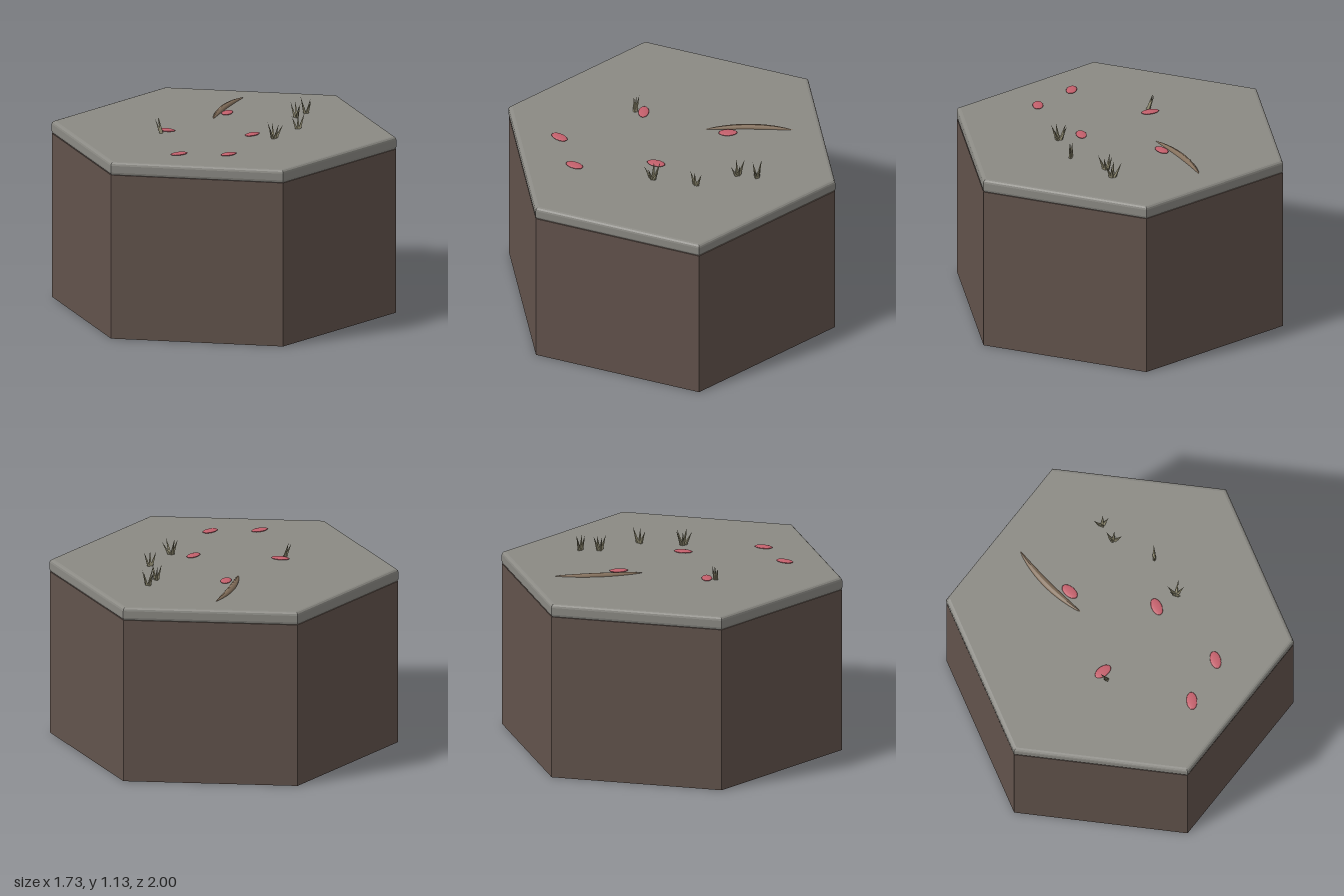
import * as THREE from 'three';

const TOP = 1.04;
const paint = (color, extra = {}) => new THREE.MeshStandardMaterial({ color, ...extra });

function add(parent, name, geometry, material) {
  const mesh = new THREE.Mesh(geometry, material);
  mesh.name = name;
  parent.add(mesh);
  return mesh;
}

// Hexagonal slab with rounded rims, overall corner radius 1
function slabGeometry(height, bevel) {
  const r = 1 - bevel / Math.cos(Math.PI / 6);
  const corners = [];
  for (let i = 0; i < 6; i++) {
    const a = (i * Math.PI) / 3;
    corners.push(new THREE.Vector2(Math.sin(a) * r, Math.cos(a) * r));
  }
  const geometry = new THREE.ExtrudeGeometry(new THREE.Shape(corners), {
    depth: height - 2 * bevel, bevelEnabled: true,
    bevelSize: bevel, bevelThickness: bevel, bevelSegments: 3,
  });
  return geometry.rotateX(-Math.PI / 2).translate(0, bevel, 0);
}

// Curved branch, tapering to a point at both ends
function branchGeometry() {
  const curve = new THREE.QuadraticBezierCurve3(
    new THREE.Vector3(-0.365, 0, -0.6),
    new THREE.Vector3(-0.33, 0, -0.36),
    new THREE.Vector3(-0.19, 0, -0.13));
  const steps = 20;
  const geometry = new THREE.TubeGeometry(curve, steps, 1, 10);
  const pos = geometry.attributes.position;
  const p = new THREE.Vector3();
  for (let i = 0; i < pos.count; i++) {
    const t = Math.floor(i / 11) / steps;
    const c = curve.getPointAt(t);
    p.fromBufferAttribute(pos, i).sub(c);
    p.multiplyScalar(0.001 + 0.02 * Math.pow(Math.sin(Math.PI * t), 0.7));
    p.y *= 0.85;
    p.add(c);
    pos.setXYZ(i, p.x, p.y, p.z);
  }
  geometry.computeVertexNormals();
  return geometry;
}

export function createModel() {
  const model = new THREE.Group();
  model.name = 'hexTile';

  // Ground block and stone cap
  const block = add(model, 'earthBlock', new THREE.CylinderGeometry(0.998, 0.998, 0.965, 6), paint(0x62534c, { flatShading: true }));
  block.position.y = 0.4825;
  const cap = add(model, 'stoneCap', slabGeometry(0.08, 0.02), paint(0x8b8a84));
  cap.position.y = TOP - 0.08;

  // Fallen branch
  const branch = add(model, 'branch', branchGeometry(), paint(0x84705c));
  branch.position.y = TOP;

  // Petals: x, z, turn of the long axis away from z
  const petals = new THREE.Group();
  petals.name = 'petals';
  model.add(petals);
  const petalMaterial = paint(0xc4606c);
  const petalGeometry = new THREE.SphereGeometry(1, 16, 8).scale(0.031, 0.007, 0.054);
  [
    [-0.2, -0.265, 0.42], [0.222, 0.012, 0], [-0.213, 0.256, 1.85],
    [0.407, 0.44, -0.15], [0.186, 0.617, -0.32],
  ].forEach(([x, z, turn]) => {
    const petal = add(petals, 'petal', petalGeometry, petalMaterial);
    petal.position.set(x, TOP + 0.007, z);
    petal.rotation.y = turn;
  });

  // Grass tufts: root, then the x and z offset of every blade tip
  const grassMaterial = paint(0x8f8a70, { flatShading: true });
  const bladeGeometry = new THREE.ConeGeometry(0.011, 1, 4).translate(0, 0.5, 0);
  const up = new THREE.Vector3(0, 1, 0);
  [
    [0.13, -0.57, [[-0.05, -0.01], [0.04, 0], [-0.01, 0.03], [0.012, -0.025]]],
    [0.15, -0.46, [[-0.03, -0.03], [0.043, 0.025], [-0.025, 0.02], [0.015, -0.02]]],
    [0.325, -0.27, [[0.015, -0.042], [-0.015, 0.038], [0.005, 0.005]]],
    [0.355, -0.02, [[-0.04, -0.03], [0.033, -0.045], [0.045, 0.01], [0.01, 0.05], [-0.04, 0.008]]],
    [-0.2, 0.306, [[-0.043, -0.012], [-0.04, 0.02], [-0.035, 0.002]]],
  ].forEach(([x, z, tips]) => {
    const tuft = new THREE.Group();
    tuft.name = 'grassTuft';
    tuft.position.set(x, TOP - 0.005, z);
    model.add(tuft);
    tips.forEach(([dx, dz], i) => {
      const blade = add(tuft, 'grassBlade', bladeGeometry, grassMaterial);
      const reach = new THREE.Vector3(dx * 0.8, 0.096 - 0.012 * (i % 2), dz * 0.8);
      blade.position.set(dx * 0.2, 0, dz * 0.2);
      blade.scale.y = reach.length();
      blade.quaternion.setFromUnitVectors(up, reach.normalize());
    });
  });

  return model;
}
